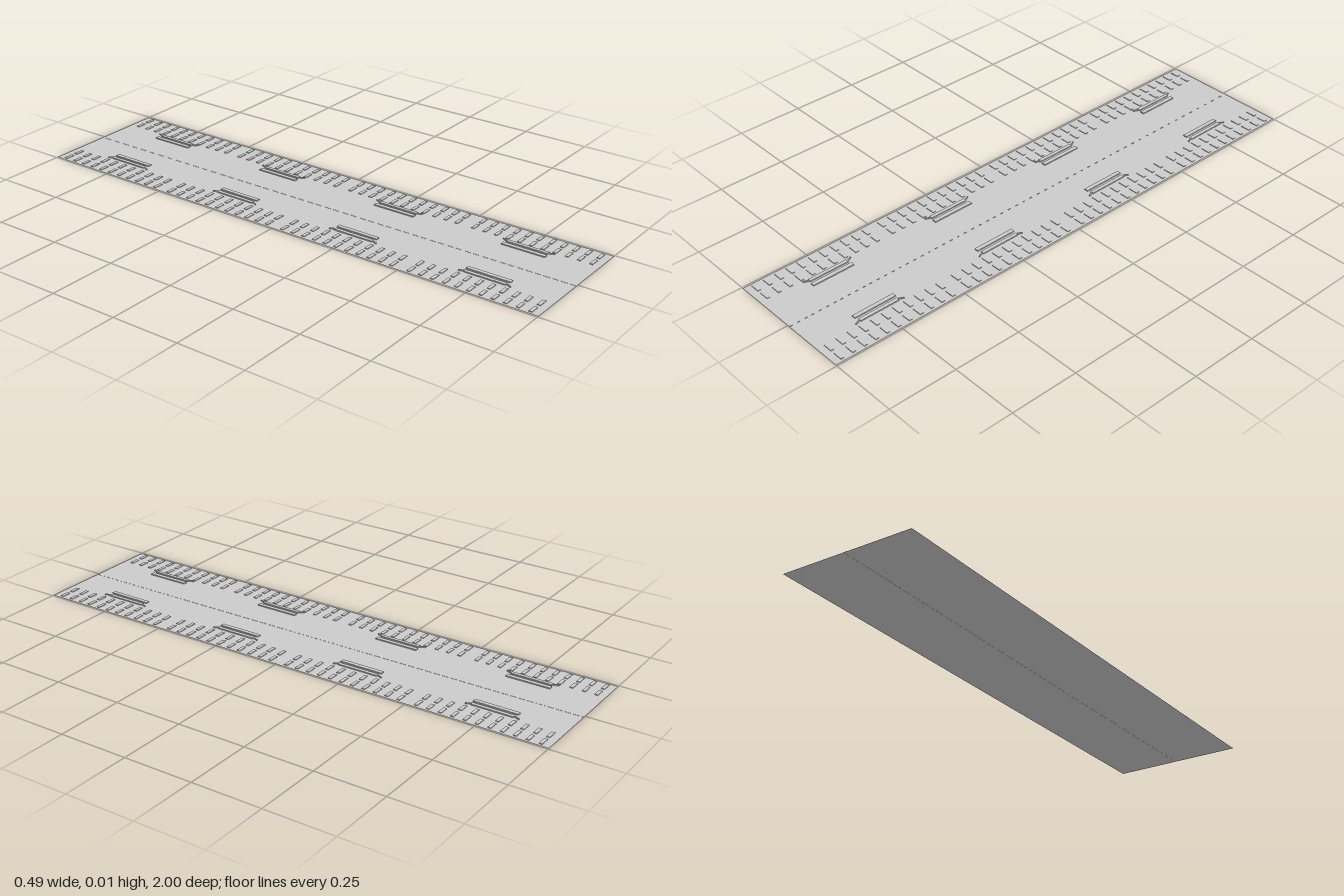
import * as THREE from 'three';

export function createModel() {
  const model = new THREE.Group();
  const grey = new THREE.MeshStandardMaterial({ color: 0xcccccc, side: THREE.DoubleSide });

  // Flat sheet lying in the ground plane
  function sheet(name, width, length, x, y) {
    const geometry = new THREE.PlaneGeometry(width, length).rotateX(-Math.PI / 2);
    const mesh = new THREE.Mesh(geometry, grey);
    mesh.name = name;
    mesh.position.set(x, y, 0);
    model.add(mesh);
  }

  // Thin raised bar, resting on height y
  function bar(parent, name, w, h, l, x, y, z, turn = 0) {
    const mesh = new THREE.Mesh(new THREE.BoxGeometry(w, h, l), grey);
    mesh.name = name;
    mesh.position.set(x, y + h / 2, z);
    mesh.rotation.y = turn;
    parent.add(mesh);
  }

  // Floor panels either side of a narrow centre seam
  for (const s of [-1, 1]) {
    sheet('floorPanel', 0.237, 2, s * 0.1265, 0);
    sheet('trackSeam', 0.004, 2, s * 0.1925, 0.0004);
  }
  sheet('centreSeam', 0.016, 2, 0, 0.0004);

  for (const s of [-1, 1]) {
    for (const zc of [-0.75, -0.25, 0.25, 0.75]) {
      // Two columns of short slats beside each edge
      const slats = new THREE.Group();
      slats.name = 'slatSection';
      slats.position.z = zc;
      model.add(slats);
      for (const x of [0.1675, 0.2175]) {
        for (let i = -5; i <= 5; i++) {
          bar(slats, 'slat', 0.035, 0.0025, 0.012, s * x, 0, i * 0.0435);
        }
      }

      // Raised bracket: two long bars with splayed ends
      const bracket = new THREE.Group();
      bracket.name = 'floorBracket';
      bracket.position.z = zc;
      model.add(bracket);
      bar(bracket, 'innerBar', 0.015, 0.004, 0.16, s * 0.1075, 0.002, 0);
      bar(bracket, 'outerBar', 0.013, 0.004, 0.15, s * 0.1315, 0.002, 0);
      for (const e of [-1, 1]) {
        bar(bracket, 'splayedEnd', 0.004, 0.004, 0.032,
          s * 0.1325, 0.002, e * 0.08, s * e * 0.45);
      }
    }
  }
  return model;
}
